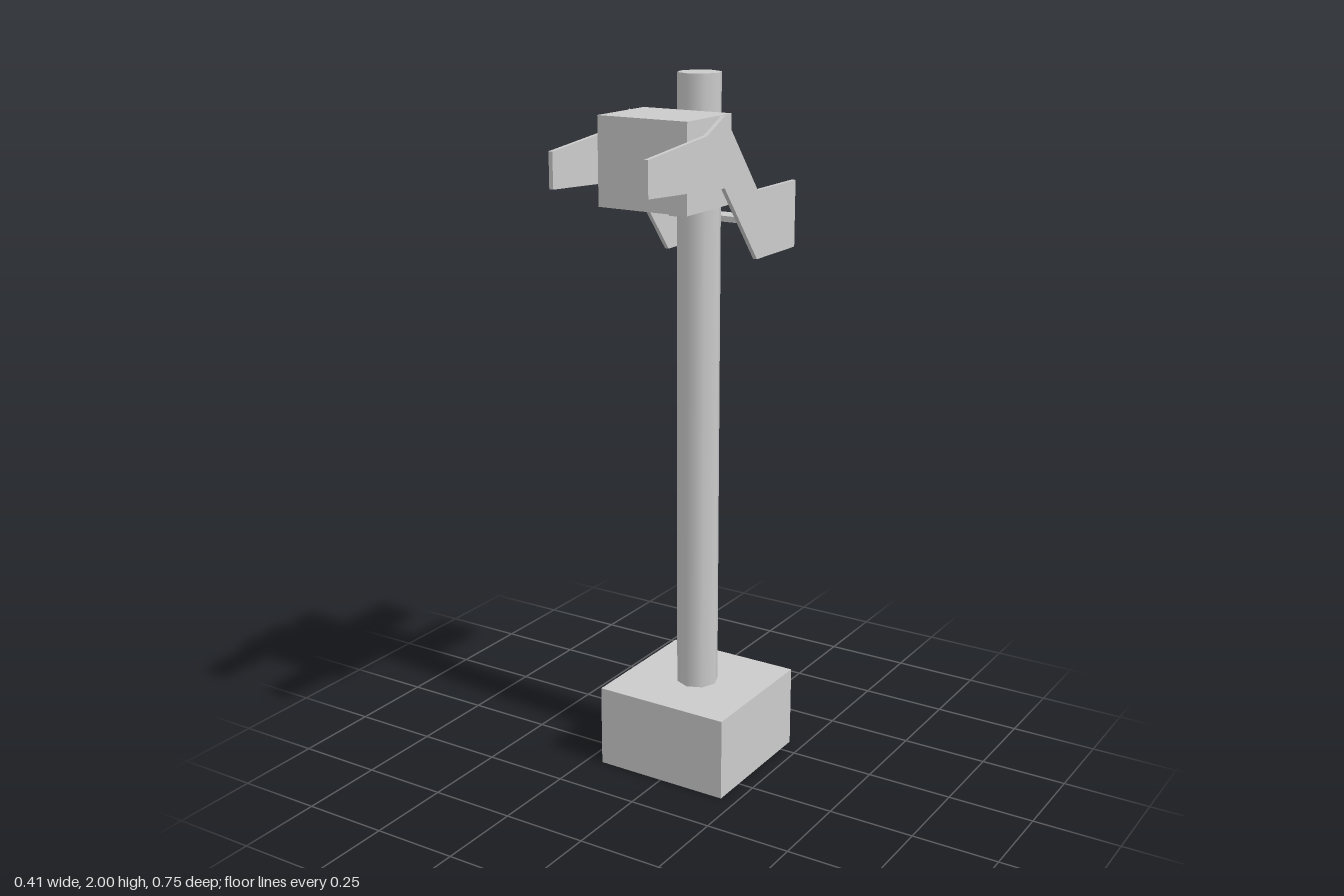
import * as THREE from 'three';

export function createModel() {
  const model = new THREE.Group();
  const material = new THREE.MeshStandardMaterial({ color: 0xcccccc, side: THREE.DoubleSide });

  function add(name, geometry, x, y, z) {
    const mesh = new THREE.Mesh(geometry, material);
    mesh.name = name;
    mesh.position.set(x, y, z);
    model.add(mesh);
  }

  // Box without its underside
  function openBox(w, h, d) {
    const box = new THREE.BoxGeometry(w, h, d);
    const index = Array.from(box.index.array);
    index.splice(18, 6); // fourth face group is the bottom
    box.setIndex(index);
    box.clearGroups();
    return box;
  }

  const poleZ = -0.103;

  // Hollow footing and the post that stands in it
  add('base', openBox(0.408, 0.24, 0.408), 0, 0.12, poleZ);
  add('pole', new THREE.CylinderGeometry(0.061, 0.061, 1.95, 8), 0, 1.025, poleZ);

  // Block in front of the post, crossbar behind it
  add('headBlock', new THREE.BoxGeometry(0.272, 0.237, 0.218), 0, 1.787, 0.069);
  add('crossbar', openBox(0.272, 0.016, 0.061), 0, 1.602, -0.197);

  // Cranked side plates, outlined as (z, y)
  const outline = [
    [0.376, 1.74], [0.376, 1.835], [0.1, 1.863], [0.012, 1.905], [-0.163, 1.69],
    [-0.376, 1.69], [-0.376, 1.502], [-0.163, 1.502], [0.012, 1.718],
  ];
  const shape = new THREE.Shape(outline.map(([z, y]) => new THREE.Vector2(z, y)));
  const thickness = 0.012;
  const plate = new THREE.ExtrudeGeometry(shape, { depth: thickness, bevelEnabled: false });
  plate.translate(0, 0, -thickness / 2).rotateY(-Math.PI / 2);
  add('leftSidePlate', plate, 0.142, 0, 0);
  add('rightSidePlate', plate, -0.142, 0, 0);

  return model;
}
